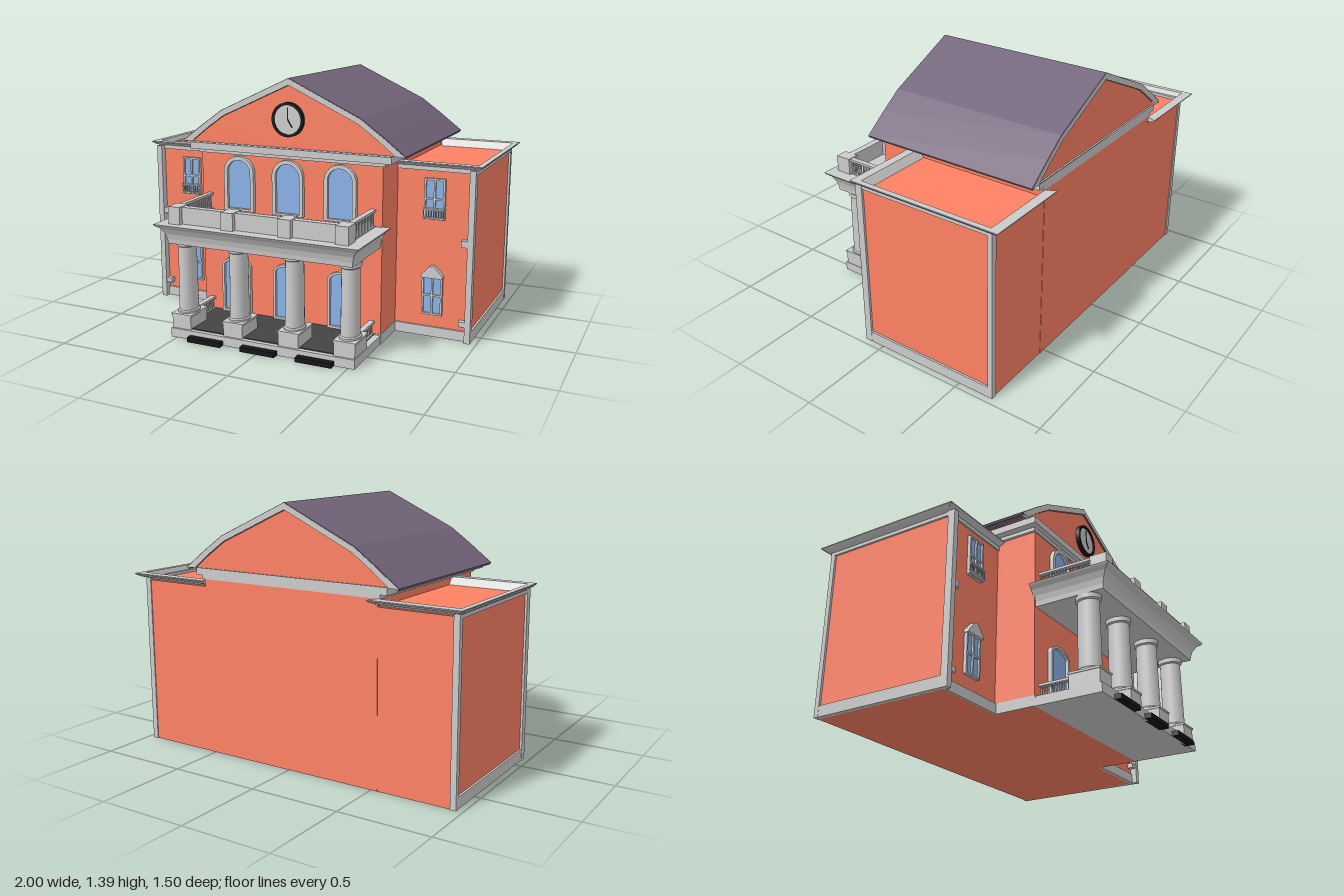
import * as THREE from 'three';

const material = (color, extra = {}) => new THREE.MeshStandardMaterial({ color, ...extra });
const grey = material(0xcccccc);
const greyFlat = material(0xcccccc, { flatShading: true, side: THREE.DoubleSide });
const brick = material(0xff8164);
const glass = material(0x8ab2e7);
const slate = material(0x73647a);
const black = material(0x151515);
const dark = material(0x444444);

export function createModel() {
  const model = new THREE.Group();

  const add = (name, geometry, mat, parent = model) => {
    const mesh = new THREE.Mesh(geometry, mat);
    mesh.name = name;
    parent.add(mesh);
    return mesh;
  };
  // Box given by its limits on each axis
  const box = (name, x0, x1, y0, y1, z0, z1, mat = grey, parent = model) => {
    const mesh = add(name, new THREE.BoxGeometry(Math.abs(x1 - x0), y1 - y0, z1 - z0), mat, parent);
    mesh.position.set((x0 + x1) / 2, (y0 + y1) / 2, (z0 + z1) / 2);
    return mesh;
  };
  const extrude = (name, shape, z0, z1, mat, parent = model) => {
    const geometry = new THREE.ExtrudeGeometry(shape, { depth: z1 - z0, bevelEnabled: false, curveSegments: 16 });
    const mesh = add(name, geometry, mat, parent);
    mesh.position.z = z0;
    return mesh;
  };
  const polygon = (points) => new THREE.Shape(points.map(([x, y]) => new THREE.Vector2(x, y)));
  // Sweep a closed [outward, y] profile along [x, z, mitreX, mitreZ] stations
  const moulding = (name, profile, stations) => {
    const rings = stations.map(([x, z, mx, mz]) => profile.map(([o, y]) => [x + mx * o, y, z + mz * o]));
    const n = profile.length;
    const index = [];
    for (let s = 0; s < rings.length - 1; s++) {
      for (let i = 0; i < n; i++) {
        const a = s * n + i, b = s * n + (i + 1) % n;
        index.push(a, b, b + n, a, b + n, a + n);
      }
    }
    const last = (rings.length - 1) * n;
    const caps = THREE.ShapeUtils.triangulateShape(profile.map(([o, y]) => new THREE.Vector2(o, y)), []);
    for (const [a, b, c] of caps) index.push(a, c, b, last + a, last + b, last + c);
    const indexed = new THREE.BufferGeometry();
    indexed.setAttribute('position', new THREE.Float32BufferAttribute(rings.flat(2), 3));
    indexed.setIndex(index);
    const geometry = indexed.toNonIndexed();
    geometry.computeVertexNormals();
    return add(name, geometry, greyFlat);
  };

  // Walls
  box('wingWalls', -0.955, 0.955, 0, 0.92, -0.697, 0.08, brick);
  box('centralWalls', -0.535, 0.535, 0, 0.965, -0.699, 0.31, brick);

  // Wing trim: corner posts, side frames, plinths, quoins and roof cornice
  for (const s of [-1, 1]) {
    box('frontCornerPost', s * 0.935, s * 0.967, 0, 0.935, 0.078, 0.118);
    box('backCornerPost', s * 0.935, s * 0.967, 0, 0.935, -0.702, -0.675);
    box('sidePlinth', s * 0.94, s * 0.966, 0, 0.06, -0.69, 0.1);
    box('sideFrieze', s * 0.94, s * 0.966, 0.91, 0.935, -0.69, 0.1);
    box('frontFrieze', s * 0.53, s * 0.95, 0.915, 0.937, 0.07, 0.088);
    box('frontPlinth', s * 0.53, s * 0.95, 0, 0.055, 0.07, 0.09);
    box('centralPlinth', s * 0.5, s * 0.539, 0, 0.055, 0.07, 0.314);
    for (const [y0, y1] of [[0.525, 0.56], [0.087, 0.115]]) {
      box('quoin', s * 0.9, s * 0.95, y0, y1, 0.07, 0.112);
    }
    moulding('wingCornice',
      [[-0.8, 0.91], [0, 0.932], [0.5, 0.94], [1, 0.955], [1, 0.96], [0, 0.96]],
      [[s * 0.535, -0.7, s * -0.03, -0.053], [s * 0.97, -0.7, s * 0.03, -0.053],
        [s * 0.97, 0.072, s * 0.03, 0.047], [s * 0.535, 0.072, 0, 0.047]]);
  }

  // Main entablature, gable and roof
  box('entablatureBand', -0.55, 0.55, 0.96, 0.985, -0.701, 0.318);
  box('entablatureCornice', -0.59, 0.59, 0.98, 1.017, -0.703, 0.345);
  const mirrorProfile = (half) => [...half.map(([x, y]) => [-x, y]).reverse(), ...half.slice(1)];
  const roofLine = mirrorProfile([[0, 1.388], [0.41, 1.198], [0.53, 1.113], [0.655, 1.018]]);
  const gableLine = mirrorProfile([[0, 1.35], [0.395, 1.168], [0.505, 1.09], [0.595, 1.018]]);
  extrude('gable', polygon(gableLine), -0.695, 0.304, brick);
  const lowered = roofLine.map(([x, y]) => [x * 0.99, y - 0.012]).reverse();
  extrude('roof', polygon([...roofLine, ...lowered]), -0.704, 0.31, slate);
  const rake = polygon(roofLine.map(([x, y]) => [x * 0.995, y - 0.003]));
  rake.holes.push(polygon(gableLine.map(([x, y]) => [x, y + 0.001])));
  extrude('frontRake', rake, 0.29, 0.312, grey);
  extrude('backRake', rake, -0.706, -0.68, grey);

  // Clock in the gable
  const clock = new THREE.Group();
  clock.name = 'clock';
  clock.position.set(0, 1.17, 0.31);
  model.add(clock);
  const face = add('clockFace', new THREE.CylinderGeometry(0.08, 0.08, 0.02, 32), grey, clock);
  face.rotation.x = Math.PI / 2;
  const rim = new THREE.Shape().absarc(0, 0, 0.092, 0, Math.PI * 2);
  rim.holes.push(new THREE.Path().absarc(0, 0, 0.078, 0, Math.PI * 2));
  extrude('clockRim', rim, -0.01, 0.017, black, clock);
  box('minuteHand', -0.003, 0.003, 0, 0.065, 0.009, 0.013, black, clock);
  const hourHand = box('hourHand', 0.01, 0.016, -0.043, 0.003, 0.009, 0.013, black, clock);
  hourHand.rotation.z = 0.55;

  // Arched openings on the central block
  const arch = (w, y0, spring, rise) => {
    const shape = new THREE.Shape();
    shape.moveTo(-w, y0).lineTo(w, y0).lineTo(w, spring);
    return shape.absellipse(0, spring, w, rise, 0, Math.PI, false).lineTo(-w, y0);
  };
  const archedOpening = (name, x, y0, spring, w, rise, rim) => {
    const group = new THREE.Group();
    group.name = name;
    group.position.x = x;
    model.add(group);
    const frame = arch(w + rim, y0, spring, rise + rim);
    frame.holes.push(arch(w, y0 + 0.012, spring, rise));
    extrude('frame', frame, 0.305, 0.333, grey, group);
    extrude('pane', arch(w + 0.003, y0 + 0.005, spring, rise + 0.003), 0.305, 0.316, glass, group);
  };
  for (const x of [-0.295, 0, 0.305]) archedOpening('upperWindow', x, 0.65, 0.865, 0.07, 0.068, 0.021);
  for (const x of [-0.322, 0, 0.325]) archedOpening('door', x, 0.056, 0.325, 0.075, 0.038, 0.014);

  // Wing windows
  for (const s of [-1, 1]) {
    for (const [name, y0, y1] of [['upperWingWindow', 0.655, 0.875], ['lowerWingWindow', 0.125, 0.345]]) {
      const group = new THREE.Group();
      group.name = name;
      group.position.set(s * 0.745, 0, 0.08);
      model.add(group);
      box('pane', -0.052, 0.052, y0, y1, -0.005, 0.008, glass, group);
      for (const x of [-0.052, 0, 0.052]) box('upright', x - 0.005, x + 0.005, y0, y1, 0, 0.018, grey, group);
      for (const y of [y0 + 0.005, (y0 + y1) / 2, y1 - 0.005]) {
        box('crossBar', -0.056, 0.056, y - 0.005, y + 0.005, 0, 0.016, grey, group);
      }
      if (name === 'upperWingWindow') {
        // Shallow balconet
        for (const y of [0.664, 0.712]) box('balconetRail', -0.058, 0.058, y - 0.004, y + 0.004, 0, 0.032, grey, group);
        for (let i = 0; i < 9; i++) {
          const x = -0.054 + i * 0.0135;
          box('balconetBar', x - 0.002, x + 0.002, 0.66, 0.715, 0.027, 0.031, grey, group);
        }
      } else {
        const hood = polygon([[-0.062, 0.335], [0.062, 0.335], [0.058, 0.352], [0.012, 0.4], [-0.012, 0.4], [-0.058, 0.352]]);
        extrude('windowHood', hood, 0, 0.03, grey, group);
      }
    }
  }

  // Porch floor and mats
  box('porchBase', -0.535, 0.535, 0, 0.05, 0.3, 0.675);
  box('porchFloor', -0.5, 0.5, 0.04, 0.055, 0.3, 0.65, dark);
  for (const x of [-0.315, 0.005, 0.325]) box('stepMat', x - 0.1, x + 0.1, 0, 0.026, 0.66, 0.712, black);

  // Columns on plinths
  const columnProfile = [[0, 0.13], [0.056, 0.13], [0.056, 0.142], [0.049, 0.148], [0.046, 0.5],
    [0.054, 0.506], [0.054, 0.53], [0, 0.53]].map(([r, y]) => new THREE.Vector2(r, y));
  // Split the profile into straight pieces so its edges stay sharp
  const columnPieces = columnProfile.slice(1).map((p, i) => new THREE.LatheGeometry([columnProfile[i], p], 24));
  for (const x of [-0.475, -0.16, 0.165, 0.475]) {
    box('plinth', x - 0.057, x + 0.057, 0.03, 0.125, 0.497, 0.664);
    box('plinthCap', x - 0.061, x + 0.061, 0.122, 0.133, 0.493, 0.668);
    const column = new THREE.Group();
    column.name = 'column';
    column.position.set(x, 0, 0.583);
    column.scale.z = 1.25;
    columnPieces.forEach((geometry) => add('columnPart', geometry, grey, column));
    model.add(column);
    // Balcony pedestal above each column
    box('balconyPedestal', x - 0.035, x + 0.035, 0.635, 0.735, 0.615, 0.705);
  }

  // Balcony slab with coved edge
  box('balconySlab', -0.52, 0.52, 0.53, 0.64, 0.3, 0.685);
  moulding('balconyCove',
    [[-0.3, 0.53], [0, 0.53], [0.05, 0.555], [0.2, 0.585], [0.5, 0.615], [0.9, 0.632], [1, 0.641], [-0.3, 0.641]],
    [[-0.525, 0.3, -0.053, 0], [-0.525, 0.69, -0.053, 0.06], [0.525, 0.69, 0.053, 0.06], [0.525, 0.3, 0.053, 0]]);
  box('balconyParapet', -0.5, 0.5, 0.635, 0.732, 0.64, 0.68);

  // Side balustrades on the balcony and the porch
  const balustrade = (name, x, y0, y1, z0, z1, count) => {
    const group = new THREE.Group();
    group.name = name;
    model.add(group);
    box('handRail', x - 0.015, x + 0.015, y1 - 0.013, y1, z0, z1, grey, group);
    box('footRail', x - 0.012, x + 0.012, y0, y0 + 0.006, z0, z1, grey, group);
    const geometry = new THREE.CylinderGeometry(0.004, 0.006, y1 - y0, 8);
    for (let i = 0; i < count; i++) {
      const baluster = add('baluster', geometry, grey, group);
      baluster.position.set(x, (y0 + y1) / 2 - 0.002, z0 + (z1 - z0) * (i + 0.5) / count);
    }
  };
  for (const s of [-1, 1]) {
    balustrade('balconyBalustrade', s * 0.485, 0.64, 0.733, 0.31, 0.62, 15);
    balustrade('porchBalustrade', s * 0.485, 0.05, 0.125, 0.31, 0.5, 10);
  }

  return model;
}
